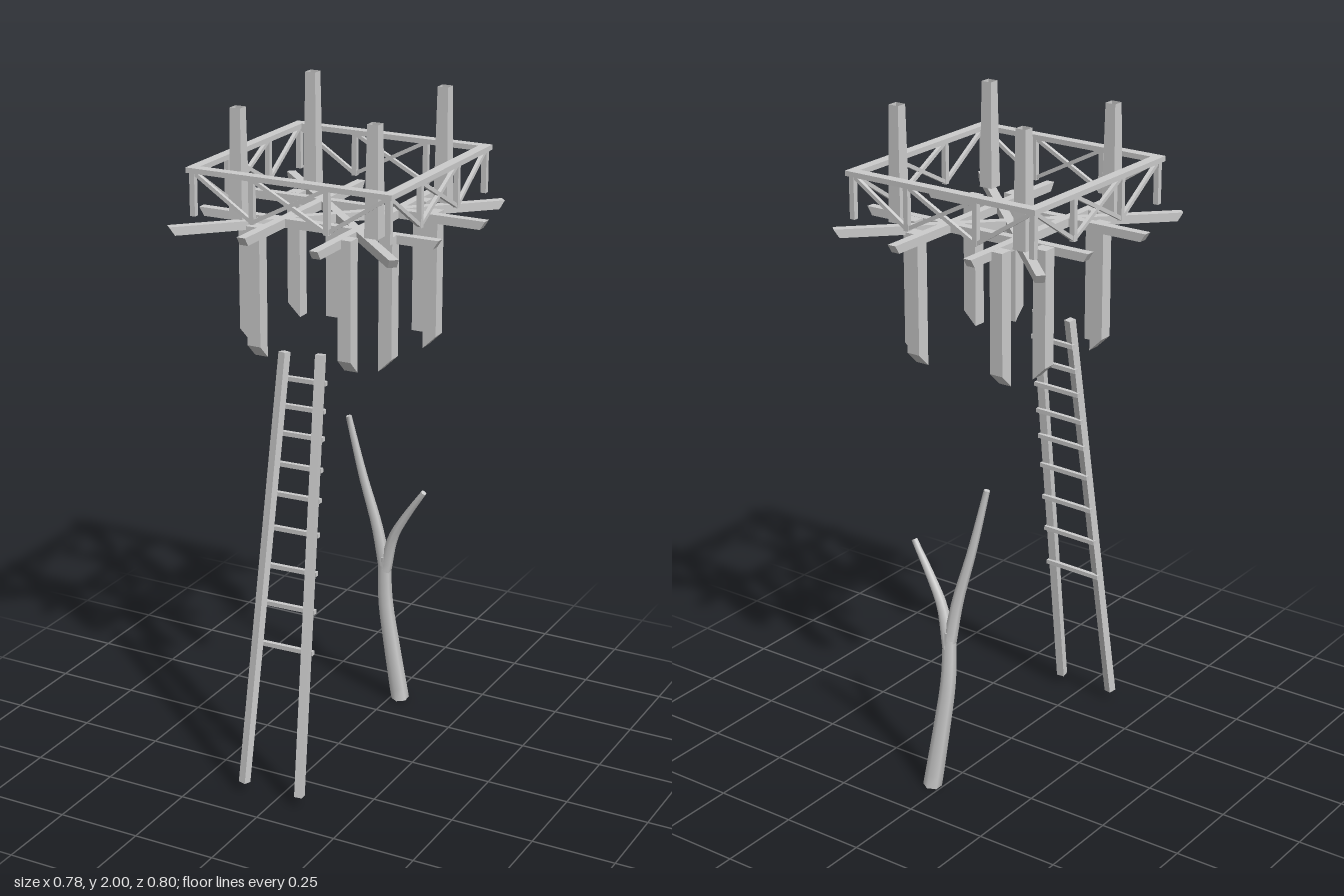
import * as THREE from 'three';
import { toCreasedNormals } from 'three/addons/utils/BufferGeometryUtils.js';

const mat = new THREE.MeshStandardMaterial({ color: 0xcccccc, flatShading: true });
const smooth = new THREE.MeshStandardMaterial({ color: 0xcccccc });
const thin = new THREE.MeshStandardMaterial({ color: 0xcccccc, flatShading: true, side: THREE.DoubleSide });
const V = (x, y, z) => new THREE.Vector3(x, y, z);

function add(parent, name, geo, material = mat) {
  const mesh = new THREE.Mesh(geo, material);
  mesh.name = name;
  parent.add(mesh);
  return mesh;
}

function group(parent, name) {
  const g = new THREE.Group();
  g.name = name;
  parent.add(g);
  return g;
}

// Timber from a to b; cut shortens the underside for bevelled ends
function timber(parent, name, a, b, w, h = w, cut = 0) {
  const geo = new THREE.BoxGeometry(w, h, a.distanceTo(b));
  const p = geo.attributes.position;
  for (let i = 0; i < p.count; i++) {
    if (p.getY(i) < 0) p.setZ(i, p.getZ(i) - Math.sign(p.getZ(i)) * cut);
  }
  geo.computeVertexNormals();
  const mesh = add(parent, name, geo);
  mesh.position.copy(a).lerp(b, 0.5);
  // Vertical pieces use z as their up direction so they stay square
  const up = Math.hypot(b.x - a.x, b.z - a.z) < 1e-6 ? V(0, 0, 1) : V(0, 1, 0);
  mesh.quaternion.setFromRotationMatrix(new THREE.Matrix4().lookAt(b, a, up));
}

// Tapered limb with flat ends
function limb(parent, name, pts, r0, r1) {
  const n = 14, sides = 6;
  const curve = new THREE.CatmullRomCurve3(pts);
  const geo = new THREE.TubeGeometry(curve, n, 1, sides);
  const p = geo.attributes.position;
  const v = V(0, 0, 0);
  for (let i = 0; i <= n; i++) {
    const c = curve.getPointAt(i / n);
    const k = (Math.min(Math.max(i, 1), n - 1) - 1) / (n - 2);
    const target = curve.getPointAt(k);
    const r = i === 0 || i === n ? 0 : r0 + (r1 - r0) * k;
    for (let j = 0; j <= sides; j++) {
      const id = i * (sides + 1) + j;
      v.fromBufferAttribute(p, id).sub(c).multiplyScalar(r).add(target);
      p.setXYZ(id, v.x, Math.max(v.y, 0), v.z);
    }
  }
  geo.computeVertexNormals();
  add(parent, name, toCreasedNormals(geo, 1.2), smooth);
}

export function createModel() {
  const model = new THREE.Group();
  model.name = 'lookoutPlatform';

  // Deck beams, crossed and diagonal
  const deck = group(model, 'deckBeams');
  const y = 1.648;
  const beams = [
    [-0.36, -0.14, 0.39, -0.14], [-0.39, 0.093, 0.36, 0.093],
    [-0.125, -0.375, -0.125, 0.327], [0.11, -0.398, 0.11, 0.35],
    [-0.359, -0.371, 0.335, 0.321], [0.335, -0.371, -0.359, 0.321],
  ];
  for (const [x0, z0, x1, z1] of beams) {
    timber(deck, 'beam', V(x0, y, z0), V(x1, y, z1), 0.026, 0.025, 0.016);
  }

  // Railing: four equal braced sides
  const railing = group(model, 'railing');
  railing.position.set(-0.0065, 0, -0.03);
  const top = 1.81, low = 1.685, d = 0.3, m = 0.115;
  for (let i = 0; i < 4; i++) {
    const side = group(railing, 'railingSide');
    side.rotation.y = i * Math.PI / 2;
    timber(side, 'handrail', V(-0.315, 1.815, d), V(0.315, 1.815, d), 0.03, 0.015);
    timber(side, 'cornerPost', V(d, low, d), V(d, top, d), 0.016);
    for (const s of [-1, 1]) {
      timber(side, 'middlePost', V(s * m, low, d), V(s * m, top, d), 0.015);
      timber(side, 'outerBrace', V(s * d, top, d), V(s * m, low + 0.005, d), 0.011);
      timber(side, 'crossBrace', V(s * m, top, d), V(-s * m, low + 0.005, d), 0.011);
    }
  }

  // Hollow tapered uprights on the deck
  const uprights = group(model, 'uprights');
  for (const [x, z, h] of [[-0.212, -0.24, 2], [0.208, -0.24, 2], [-0.215, 0.18, 1.98], [0.205, 0.18, 1.98]]) {
    const geo = new THREE.CylinderGeometry(0.016 * Math.SQRT2, 0.021 * Math.SQRT2, h - 1.67, 4, 1, true);
    geo.rotateY(Math.PI / 4);
    add(uprights, 'upright', geo, thin).position.set(x, (h + 1.67) / 2, z);
  }

  // Hanging supports, cut at a slant on the side facing outward
  const supports = group(model, 'supports');
  const posts = [
    [-0.232, -0.176, 'x', 1.285], [0.213, -0.17, 'x', 1.255],
    [-0.232, 0.102, 'x', 1.285], [0.213, 0.11, 'x', 1.27],
    [-0.152, -0.263, 'z', 1.27], [0.132, -0.263, 'z', 1.27],
    [-0.152, 0.197, 'z', 1.275], [0.132, 0.197, 'z', 1.275],
  ];
  for (const [x, z, axis, bottom] of posts) {
    const h = 1.66 - bottom;
    const geo = new THREE.BoxGeometry(0.041, h, 0.041);
    const p = geo.attributes.position;
    const out = axis === 'x' ? Math.sign(x) : Math.sign(z);
    for (let i = 0; i < p.count; i++) {
      const c = axis === 'x' ? p.getX(i) : p.getZ(i);
      if (p.getY(i) < 0 && c * out > 0) p.setY(i, p.getY(i) + 0.04);
    }
    geo.computeVertexNormals();
    add(supports, 'support', geo).position.set(x, bottom + h / 2, z);
  }

  // Leaning ladder, narrower at the top
  const ladder = group(model, 'ladder');
  const feet = [V(-0.107, 0.03, 0.384), V(0.076, 0.03, 0.384)];
  const tips = [V(-0.062, 1.31, 0.204), V(0.052, 1.32, 0.204)];
  feet.forEach((f, i) => timber(ladder, 'ladderRail', f, tips[i], 0.024));
  for (const h of [0.455, 0.577, 0.688, 0.8, 0.9, 0.987, 1.076, 1.154, 1.233]) {
    const t = (h - 0.03) / 1.28;
    const [l, r] = feet.map((f, i) => f.clone().lerp(tips[i], t));
    l.x -= 0.014; r.x += 0.014;
    l.z -= 0.016; r.z -= 0.016;
    l.y = h - 0.002; r.y = h + 0.002;
    timber(ladder, 'rung', l, r, 0.013);
  }

  // Bare forked tree
  const tree = group(model, 'tree');
  limb(tree, 'trunk', [V(0.03, 0, -0.357), V(0.005, 0.2, -0.34), V(-0.01, 0.35, -0.327), V(-0.008, 0.5, -0.315)], 0.028, 0.02);
  limb(tree, 'tallBranch', [V(-0.008, 0.46, -0.318), V(-0.03, 0.6, -0.305), V(-0.07, 0.76, -0.29), V(-0.111, 0.955, -0.272)], 0.02, 0.009);
  limb(tree, 'shortBranch', [V(-0.008, 0.45, -0.319), V(0.025, 0.57, -0.307), V(0.07, 0.65, -0.3), V(0.135, 0.745, -0.29)], 0.02, 0.009);

  return model;
}
